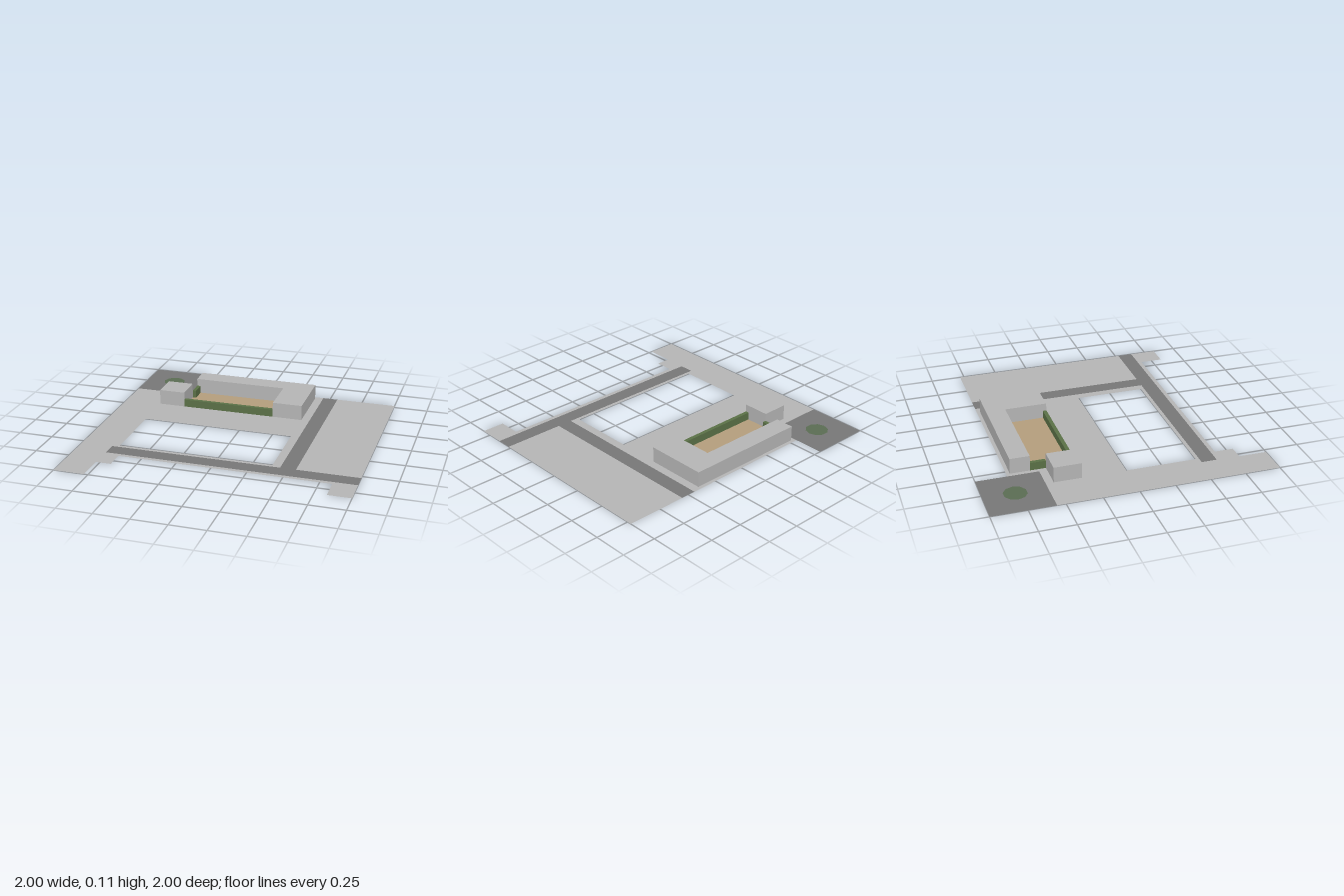
import * as THREE from 'three';

const mat = (name, color) =>
  new THREE.MeshStandardMaterial({ name, color, side: THREE.DoubleSide });

// Plan outlines are lists of [x, z] corners
const toPath = (pts, Type) => new Type(pts.map(([x, z]) => new THREE.Vector2(x, -z)));
const rect = (x0, x1, z0, z1) => [[x0, z0], [x1, z0], [x1, z1], [x0, z1]];

// Flat ground sheet, facing up
function sheet(outline, holes = []) {
  const shape = toPath(outline, THREE.Shape);
  shape.holes = holes.map((h) => toPath(h, THREE.Path));
  return new THREE.ShapeGeometry(shape).rotateX(-Math.PI / 2);
}

// Upright block with walls and roof, open underneath
function block(outline, height) {
  const geo = new THREE.ExtrudeGeometry(toPath(outline, THREE.Shape), {
    depth: height, bevelEnabled: false,
  }).rotateX(-Math.PI / 2).toNonIndexed();
  const p = geo.attributes.position;
  const kept = [];
  for (let i = 0; i < p.count; i += 3) {
    if (Math.max(p.getY(i), p.getY(i + 1), p.getY(i + 2)) < 1e-4) continue;
    for (let k = i; k < i + 3; k++) kept.push(p.getX(k), p.getY(k), p.getZ(k));
  }
  const open = new THREE.BufferGeometry();
  open.setAttribute('position', new THREE.Float32BufferAttribute(kept, 3));
  open.computeVertexNormals();
  return open;
}

export function createModel() {
  const model = new THREE.Group();
  model.name = 'courtyardSite';

  const concrete = mat('lightGrey', 0xb4b4b4);
  const asphalt = mat('darkGrey', 0x767676);
  const sand = mat('tan', 0xb39d7c);
  const leaf = mat('hedgeGreen', 0x5a7046);
  const lawn = mat('lawnGreen', 0x5a6c52);

  const add = (name, geometry, material) => {
    const mesh = new THREE.Mesh(geometry, material);
    mesh.name = name;
    model.add(mesh);
    return mesh;
  };

  // Pavement, cut around the roads, the open plot and the building
  const plot = rect(-0.725, 0.385, 0, 0.5);
  const footprint = [
    [-0.53, -0.755], [0.385, -0.755], [0.385, -0.31],
    [-0.725, -0.31], [-0.725, -0.505], [-0.53, -0.505],
  ];
  add('mainPavement', sheet([
    [-0.56, -0.78], [0.445, -0.78], [0.445, 0.525], [-0.775, 0.525],
    [-0.775, 0.635], [0.835, 0.635], [0.835, 0.665], [-0.67, 0.665],
    [-0.67, 0.8], [-0.78, 0.8], [-0.78, 1], [-1, 1], [-1, -0.56], [-0.56, -0.56],
  ], [plot, footprint]), concrete);
  add('sidePavement', sheet(rect(0.555, 1, -0.78, 0.525)), concrete);
  add('cornerPavement', sheet(rect(0.835, 1, 0.635, 0.83)), concrete);

  // Roads and the corner square
  add('sideRoad', sheet(rect(0.445, 0.555, -0.78, 0.525)), asphalt);
  add('frontRoad', sheet(rect(-0.775, 1, 0.525, 0.635)), asphalt);
  add('cornerSquare', sheet(rect(-1, -0.56, -1, -0.56)), asphalt);

  // Round lawn on the square
  const disc = add('roundLawn', new THREE.CircleGeometry(0.082, 10).rotateX(-Math.PI / 2), lawn);
  disc.position.set(-0.78, 0.002, -0.78);

  // Building: a bent main wing and a small separate block
  add('mainWing', block([
    [-0.53, -0.755], [0.385, -0.755], [0.385, -0.31],
    [0.165, -0.31], [0.165, -0.615], [-0.53, -0.615],
  ], 0.112), concrete);
  add('smallBlock', block(rect(-0.725, -0.53, -0.505, -0.31), 0.112), concrete);

  // Courtyard floor, with hedges closing its two gaps
  add('courtyardFloor', sheet([
    [-0.503, -0.615], [0.165, -0.615], [0.165, -0.337],
    [-0.53, -0.337], [-0.53, -0.505], [-0.503, -0.505],
  ]), sand);
  add('frontHedge', block(rect(-0.53, 0.165, -0.337, -0.31), 0.056), leaf);
  add('sideHedge', block(rect(-0.53, -0.503, -0.615, -0.505), 0.056), leaf);

  return model;
}
